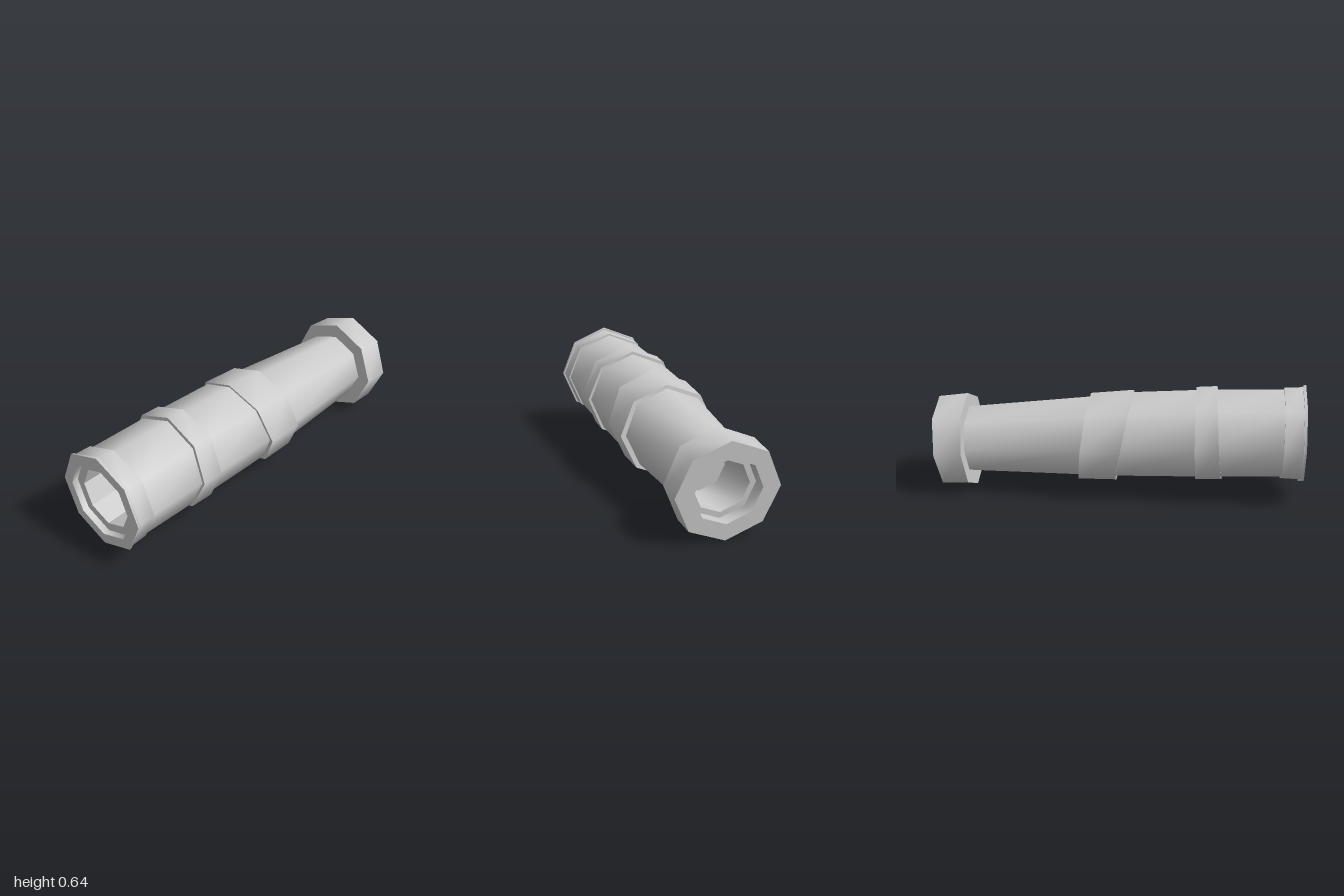
import * as THREE from 'three';

const SIDES = 8;

// Octagonal section given by its top point, bottom point and half width.
const ring = (zTop, yTop, zBot, yBot, w) => ({ zTop, yTop, zBot, yBot, w });

// The same section scaled about its centre and moved along z.
function inset(r, s, dz = 0) {
  const zc = (r.zTop + r.zBot) / 2, yc = (r.yTop + r.yBot) / 2;
  return ring(zc + (r.zTop - zc) * s + dz, yc + (r.yTop - yc) * s,
    zc + (r.zBot - zc) * s + dz, yc + (r.yBot - yc) * s, r.w * s);
}

function ringPoints(r) {
  const out = [];
  for (let i = 0; i < SIDES; i++) {
    const a = (i / SIDES) * Math.PI * 2, t = (1 + Math.cos(a)) / 2;
    out.push(r.w * Math.sin(a), r.yBot + (r.yTop - r.yBot) * t, r.zBot + (r.zTop - r.zBot) * t);
  }
  return out;
}

// Skin a list of sections; each band is smooth around, with a hard edge between bands.
function loft(name, rings, flat = false) {
  const pos = [], index = [];
  for (let k = 0; k < rings.length - 1; k++) {
    const base = pos.length / 3;
    pos.push(...ringPoints(rings[k]), ...ringPoints(rings[k + 1]));
    for (let i = 0; i < SIDES; i++) {
      const j = (i + 1) % SIDES;
      const a = base + i, b = base + j, c = a + SIDES, d = b + SIDES;
      index.push(a, b, c, b, d, c);
    }
  }
  const g = new THREE.BufferGeometry();
  g.setAttribute('position', new THREE.Float32BufferAttribute(pos, 3));
  g.setIndex(index);
  g.computeVertexNormals();
  const mesh = new THREE.Mesh(g, new THREE.MeshStandardMaterial({ color: 0xcccccc, flatShading: flat }));
  mesh.name = name;
  return mesh;
}

// Raised band with end faces that run down into the tube.
const collar = (name, front, back) =>
  loft(name, [inset(front, 0.88), front, back, inset(back, 0.8)]);

export function createModel() {
  const group = new THREE.Group();
  group.name = 'spyglass';

  // Tubes
  group.add(loft('frontTube', [
    ring(0.89, 0.612, 0.89, 0.115, 0.255),
    ring(0.47, 0.598, 0.5, 0.098, 0.255),
    ring(0, 0.567, -0.05, 0.082, 0.252),
  ]));
  group.add(loft('rearTube', [
    ring(-0.1, 0.546, -0.15, 0.083, 0.244),
    ring(-0.86, 0.458, -0.83, 0.083, 0.193),
  ]));

  // Front rim: thin flange, then a slightly smaller band
  const face = ring(0.997, 0.64, 1, 0.093, 0.274);
  const flangeBack = ring(0.982, 0.638, 0.985, 0.094, 0.272);
  const bandFront = ring(0.982, 0.628, 0.985, 0.104, 0.265);
  const bandBack = ring(0.885, 0.623, 0.885, 0.107, 0.263);
  const mouth = inset(face, 0.78);
  const shelf = inset(face, 0.78, -0.035);
  const bore = inset(face, 0.6, -0.035);
  const floor = inset(face, 0.6, -0.2);
  group.add(loft('frontRim', [bore, shelf, mouth, face, flangeBack, bandFront, bandBack, inset(bandBack, 0.9)]));
  group.add(loft('frontBore', [inset(floor, 0), floor, bore], true));

  // Middle collars
  group.add(collar('middleCollar',
    ring(0.53, 0.62, 0.57, 0.088, 0.27), ring(0.42, 0.612, 0.43, 0.08, 0.27)));
  group.add(collar('slantedCollar',
    ring(0.083, 0.585, -0.013, 0.06, 0.27), ring(-0.152, 0.56, -0.208, 0.06, 0.268)));

  // Eyepiece ring with a stepped hole
  const eyeFront = ring(-0.838, 0.537, -0.806, 0.004, 0.268);
  const eyeBack = ring(-1, 0.515, -0.945, 0.002, 0.268);
  const eyeFloor = inset(eyeBack, 0.5, 0.35);
  group.add(loft('eyepiece', [
    inset(eyeFront, 0.65), eyeFront, eyeBack,
    inset(eyeBack, 0.66), inset(eyeBack, 0.66, 0.08),
    inset(eyeBack, 0.54, 0.08), eyeFloor, inset(eyeFloor, 0),
  ]));

  return group;
}
